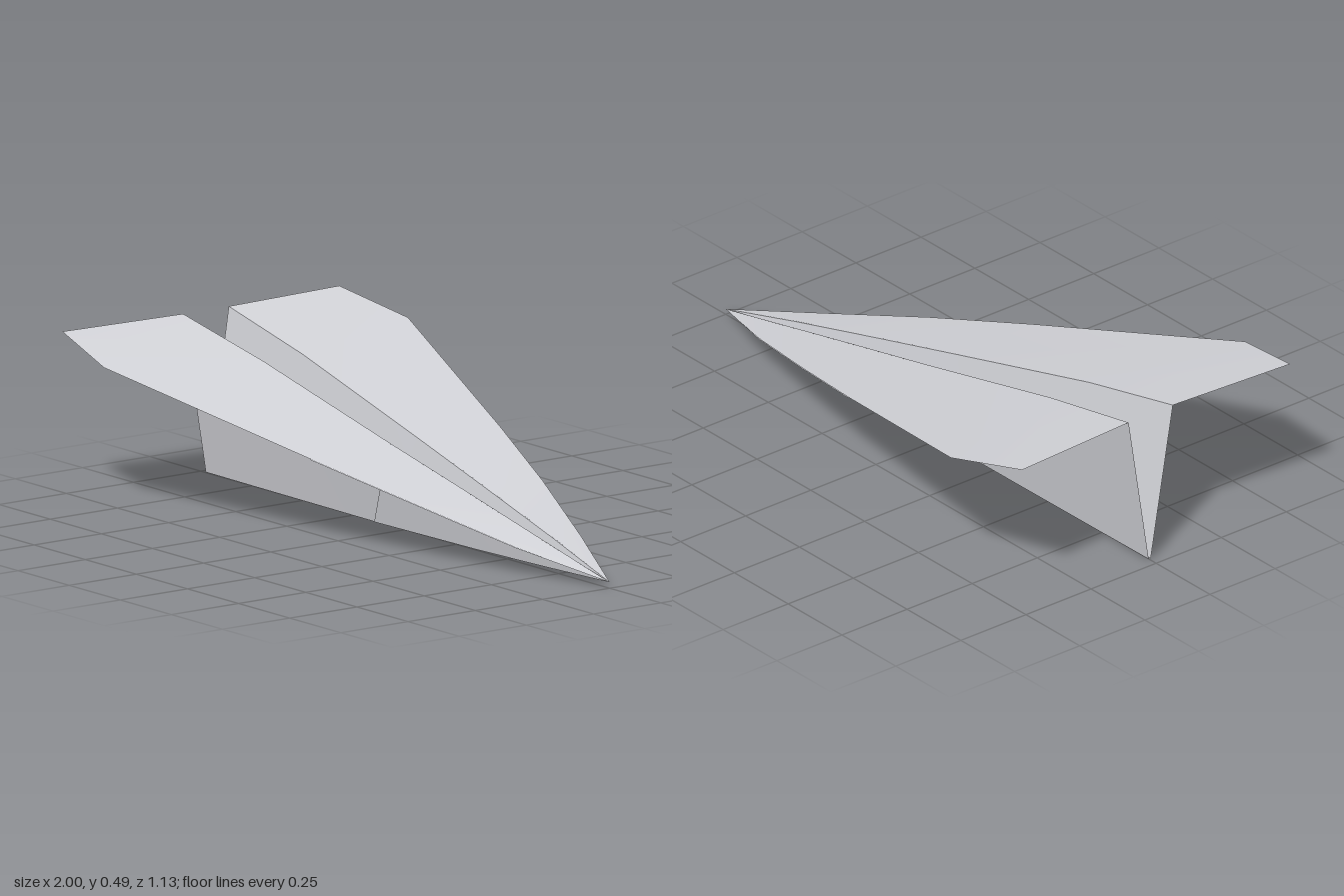
import * as THREE from 'three';

const paper = new THREE.MeshStandardMaterial({ color: 0xd4d5da, side: THREE.DoubleSide });
paper.name = 'paper';

// Stations from tail to nose as [x, y, z] on the left half (+z)
const keel = [[-0.97, 0.005, 0.004], [-0.73, 0.004, 0.005], [-0.14, 0.002, 0.006], [0.35, 0.007, 0.006], [0.7, 0.014, 0.005], [1, 0.02, 0]];
const fold = [[-0.975, 0.495, 0.085], [-0.6, 0.418, 0.074], [-0.01, 0.272, 0.053], [0.35, 0.184, 0.036], [0.7, 0.097, 0.019], [1, 0.02, 0]];
const tip = [[-1, 0.495, 0.515], [-0.73, 0.44, 0.565], [0, 0.265, 0.355], [0.35, 0.18, 0.245], [0.7, 0.09, 0.122], [1, 0.02, 0]];

// Sheet stretched between two edge lines, shaded smoothly
function sheet(name, a, b, side, offset = [0, 0]) {
  const positions = [], index = [];
  a.forEach((p, i) => {
    for (const [x, y, z] of [p, b[i]]) {
      // layers close up towards the nose
      const k = x >= 0.99 ? 0 : 1;
      positions.push(x, y + offset[0] * k, (z + offset[1] * k) * side);
    }
    if (i) {
      const n = 2 * i;
      const quad = [n - 2, n - 1, n, n, n - 1, n + 1];
      index.push(...(side > 0 ? quad.map((v, j) => quad[j - (j % 3) + 2 - (j % 3)]) : quad));
    }
  });
  const geometry = new THREE.BufferGeometry();
  geometry.setAttribute('position', new THREE.Float32BufferAttribute(positions, 3));
  geometry.setIndex(index);
  geometry.computeVertexNormals();
  const mesh = new THREE.Mesh(geometry, paper);
  mesh.name = name;
  return mesh;
}

export function createModel() {
  const plane = new THREE.Group();
  plane.name = 'paperPlane';
  const front = (line) => line.slice(2);
  const rear = (line) => line.slice(0, 3);
  for (const side of [1, -1]) {
    const label = side > 0 ? 'left' : 'right';
    // single rear sheet
    plane.add(sheet(label + 'RearWing', rear(fold), rear(tip), side));
    plane.add(sheet(label + 'RearBodyWall', rear(keel), rear(fold), side));
    // doubled front sheet, folded over itself
    plane.add(sheet(label + 'FrontWingTop', front(fold), front(tip), side));
    plane.add(sheet(label + 'FrontWingUnder', front(fold), front(tip), side, [-0.003, 0]));
    plane.add(sheet(label + 'FrontBodyInner', front(keel), front(fold), side));
    plane.add(sheet(label + 'FrontBodyOuter', front(keel), front(fold), side, [0, 0.003]));
  }
  // crease closing the bottom of the body
  const mirrored = keel.map(([x, y, z]) => [x, y, -z]);
  plane.add(sheet('keelCrease', mirrored, keel, 1));
  // stand on the ground
  plane.position.y = -0.002;
  return plane;
}
